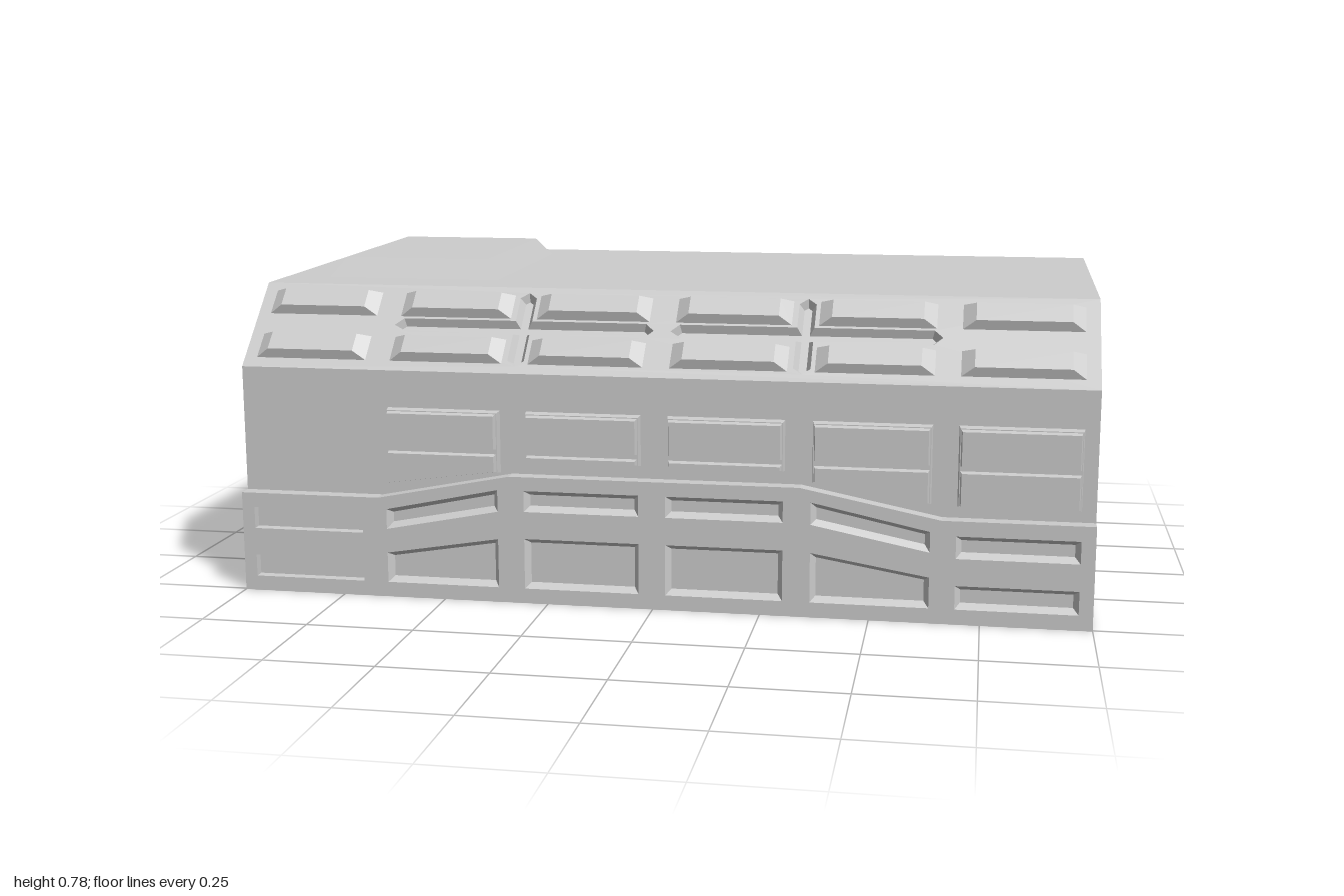
import * as THREE from 'three';

const material = new THREE.MeshStandardMaterial({ color: 0xcccccc, flatShading: true });

function addMesh(parent, name, geometry) {
  const mesh = new THREE.Mesh(geometry, material);
  mesh.name = name;
  parent.add(mesh);
  return mesh;
}

const toVectors = (points) => points.map(([x, y]) => new THREE.Vector2(x, y));
const rect = (x0, x1, y0, y1) => [[x0, y0], [x1, y0], [x1, y1], [x0, y1]];
// four-sided outline whose bottom and top edges may slope: left and right heights given separately
const quad = (x0, x1, [yl0, yr0], [yl1, yr1]) => [[x0, yl0], [x1, yr0], [x1, yr1], [x0, yl1]];
const mirror = (points) => points.map(([x, y]) => [-x, y]).reverse();

// Moves every edge of a counter-clockwise outline inward by d
function inset(points, d) {
  const n = points.length;
  return points.map((p, i) => {
    const a = points[(i + n - 1) % n], b = points[(i + 1) % n];
    const l1 = Math.hypot(p[0] - a[0], p[1] - a[1]), l2 = Math.hypot(b[0] - p[0], b[1] - p[1]);
    const n1 = [-(p[1] - a[1]) / l1, (p[0] - a[0]) / l1];
    const n2 = [-(b[1] - p[1]) / l2, (b[0] - p[0]) / l2];
    const k = d / (1 + n1[0] * n2[0] + n1[1] * n2[1]);
    return [p[0] + (n1[0] + n2[0]) * k, p[1] + (n1[1] + n2[1]) * k];
  });
}

// Sloping walls from the outer outline at z0 to the inner one at z1, closed by a flat cap:
// a raised plate when z1 > z0, a pocket when z1 < z0
function plateau(outer, inner, z0, z1) {
  const v = [];
  outer.forEach((a, i) => {
    const j = (i + 1) % outer.length;
    const b = outer[j], c = inner[j], d = inner[i];
    v.push(...a, z0, ...b, z0, ...c, z1, ...a, z0, ...c, z1, ...d, z1);
  });
  for (const face of THREE.ShapeUtils.triangulateShape(toVectors(inner), [])) {
    for (const i of face) v.push(...inner[i], z1);
  }
  const g = new THREE.BufferGeometry();
  g.setAttribute('position', new THREE.Float32BufferAttribute(v, 3));
  g.computeVertexNormals();
  return g;
}

function slab(outline, holes, depth) {
  const shape = new THREE.Shape(toVectors(outline));
  for (const h of holes) shape.holes.push(new THREE.Path(toVectors(h)));
  return new THREE.ExtrudeGeometry(shape, { depth, bevelEnabled: false });
}

export function createModel() {
  const model = new THREE.Group();
  const columns = [[-0.97, -0.7], [-0.64, -0.368], [-0.305, -0.033], [0.03, 0.302], [0.365, 0.635], [0.693, 0.968]];

  // Main body: side profile (z, y) swept across x, with a seat for the sloped plate
  const s = 0.02 * Math.SQRT1_2;
  const body = slab([[-0.505, 0], [0.47, 0], [0.47, 0.54], [0.47 - s, 0.54 - s],
    [0.29 - s, 0.72 - s], [0.29, 0.72], [-0.505, 0.735]], [], 2);
  body.rotateY(-Math.PI / 2).translate(1, 0, 0);
  addMesh(model, 'body', body);

  // Lower front skirt with recessed panels
  const skirt = new THREE.Group();
  skirt.name = 'lowerSkirt';
  skirt.position.z = 0.47;
  model.add(skirt);
  const [c0, c1, c2, c3, c4, c5] = columns;
  const recesses = [
    rect(...c0, 0.035, 0.087), rect(...c0, 0.153, 0.205),
    quad(...c1, [0.035, 0.035], [0.107, 0.152]), quad(...c1, [0.165, 0.218], [0.213, 0.27]),
    rect(...c2, 0.035, 0.155), rect(...c2, 0.22, 0.27),
    rect(...c3, 0.035, 0.155), rect(...c3, 0.22, 0.27),
    quad(...c4, [0.035, 0.035], [0.152, 0.107]), quad(...c4, [0.218, 0.165], [0.27, 0.213]),
    rect(...c5, 0.035, 0.09), rect(...c5, 0.153, 0.205),
  ];
  const skirtOutline = [[-1, 0], [1, 0], [1, 0.24], [0.66, 0.24], [0.34, 0.303], [-0.34, 0.303], [-0.66, 0.24], [-1, 0.24]];
  addMesh(skirt, 'skirtPlate', slab(skirtOutline, recesses, 0.035));
  recesses.forEach((r, i) => addMesh(skirt, 'skirtRecess', plateau(r, inset(r, i < 2 ? 0.002 : 0.012), 0.035, 0.017)));

  // Raised two-part panels above the skirt: [column, bottom heights]
  const panels = [[c1, [0.27, 0.305]], [c2, [0.333, 0.333]], [c3, [0.333, 0.333]], [c4, [0.31, 0.27]], [c5, [0.267, 0.267]]];
  for (const [column, bottom] of panels) {
    const panel = new THREE.Group();
    panel.name = 'raisedPanel';
    panel.position.z = 0.47;
    model.add(panel);
    const base = quad(...column, bottom, [0.452, 0.452]);
    addMesh(panel, 'panelBase', plateau(base, inset(base, 0.003), 0, 0.02));
    const [x0, x1] = [column[0] + 0.005, column[1] - 0.005];
    const upper = rect(x0, x1, 0.363, 0.447);
    const lower = quad(x0, x1, bottom.map((y) => y + 0.005), [0.352, 0.352]);
    addMesh(panel, 'upperPlate', plateau(upper, inset(upper, 0.003), 0.02, 0.035));
    addMesh(panel, 'lowerPlate', plateau(lower, inset(lower, 0.003), 0.02, 0.035));
  }

  // Sloped plate with two cross-shaped grooves
  const slope = new THREE.Group();
  slope.name = 'slopedFace';
  slope.position.set(0, 0.54, 0.47);
  slope.rotation.x = -Math.PI / 4;
  model.add(slope);
  const length = 0.18 * Math.SQRT2, mid = 0.134, h = 0.02, cx = -0.335, w = 0.02;
  const cross = [
    [-0.02, mid], [-0.04, mid + h], [cx + w, mid + h], [cx + w, 0.222], [cx, 0.238], [cx - w, 0.222],
    [cx - w, mid + h], [-0.63, mid + h], [-0.65, mid], [-0.63, mid - h], [cx - w, mid - h],
    [cx - w, 0.037], [cx, 0.021], [cx + w, 0.037], [cx + w, mid - h], [-0.04, mid - h],
  ];
  const grooves = [cross, mirror(cross)];
  addMesh(slope, 'slopedPlate', slab(rect(-1, 1, 0, length), grooves, 0.02).translate(0, 0, -0.02));
  for (const g of grooves) addMesh(slope, 'crossGroove', plateau(g, inset(g, 0.011), 0, -0.018));

  // Two rows of wedge-ended louvers on the slope
  for (const [x0, x1] of columns) {
    for (const v of [0.028, 0.16]) {
      addMesh(slope, 'louver', plateau(rect(x0, x1, v, v + 0.07), rect(x0 + 0.03, x1 - 0.03, v + 0.012, v + 0.062), 0, 0.02));
    }
  }

  // Bevelled roof hatch, lying on the slightly tilted roof
  const hatch = addMesh(model, 'roofHatch',
    plateau(rect(-0.888, -0.452, 0.12, 0.68), rect(-0.853, -0.487, 0.157, 0.637), 0, 0.048));
  hatch.position.set(0, 0.72, 0.29);
  hatch.rotation.x = -(Math.PI / 2 - Math.atan2(0.015, 0.795));

  return model;
}
